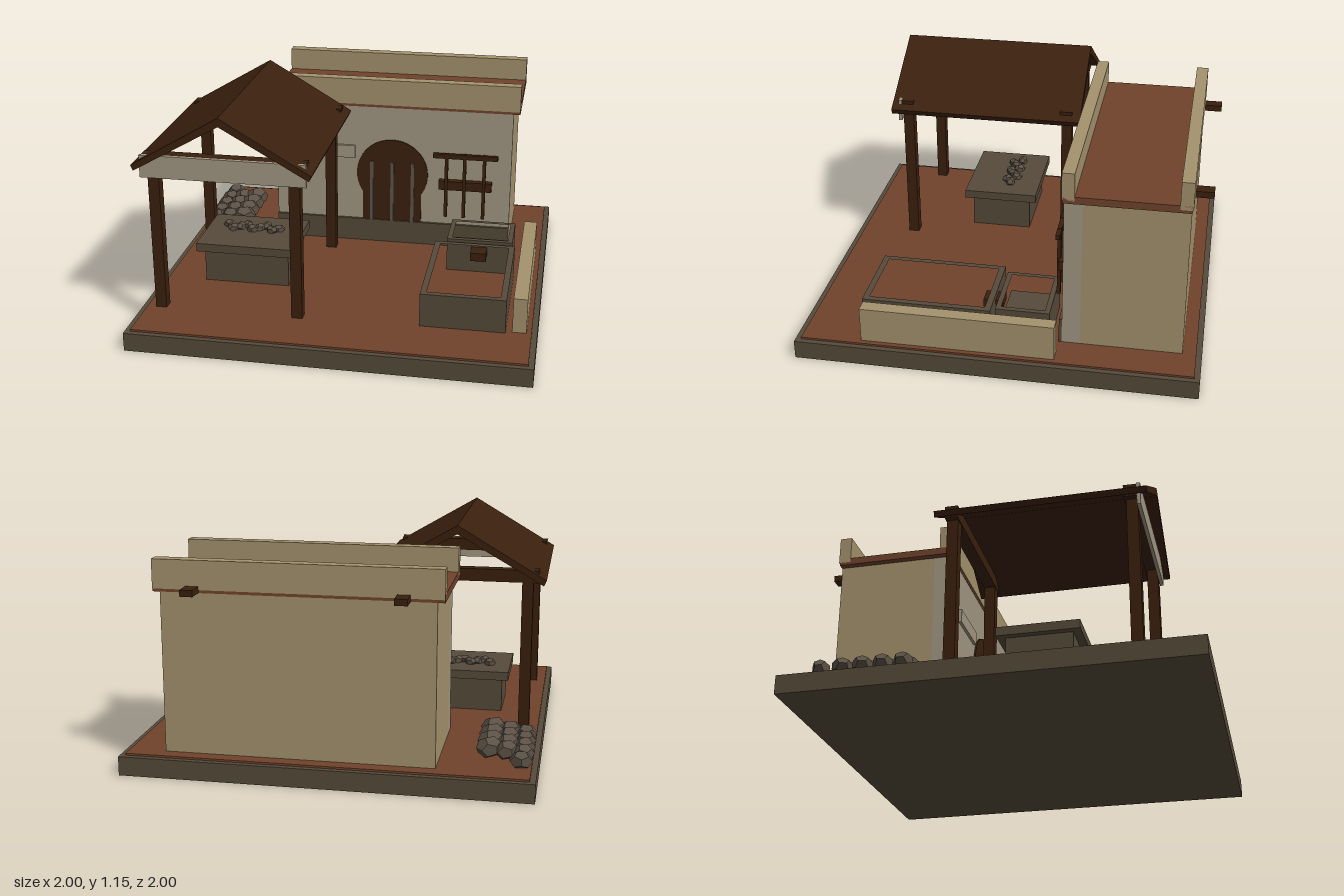
import * as THREE from 'three';

const material = (name, color) => {
  const m = new THREE.MeshStandardMaterial({ color });
  m.name = name;
  return m;
};

export function createModel() {
  const model = new THREE.Group();
  model.name = 'courtyard';
  const stone = material('stone', 0x564a3a);
  const clay = material('clay', 0x70432c);
  const sand = material('sandy plaster', 0xa5926d);
  const plaster = material('grey plaster', 0xa29782);
  const wood = material('dark wood', 0x3a200e);
  const iron = material('iron', 0x5c544a);
  const rock = material('rock', 0x5b5145);
  rock.flatShading = true;

  const add = (name, geometry, mat, parent = model) => {
    const mesh = new THREE.Mesh(geometry, mat);
    mesh.name = name;
    parent.add(mesh);
    return mesh;
  };
  // Box given by its extents along each axis
  const box = (name, mat, [x0, x1], [y0, y1], [z0, z1], parent) => {
    const g = new THREE.BoxGeometry(x1 - x0, y1 - y0, z1 - z0);
    g.translate((x0 + x1) / 2, (y0 + y1) / 2, (z0 + z1) / 2);
    return add(name, g, mat, parent);
  };
  const group = (name) => {
    const g = new THREE.Group();
    g.name = name;
    model.add(g);
    return g;
  };

  // Ground slab with clay floor
  box('base', stone, [-1, 1], [0, 0.095], [-1, 1]);
  box('floor', clay, [-0.972, 0.972], [0.09, 0.105], [-0.972, 0.972]);

  // House
  const house = group('house');
  box('houseBody', sand, [-0.53, 0.79], [0.1, 0.905], [-0.905, -0.4], house);
  box('frontWall', plaster, [-0.53, 0.79], [0.1, 0.905], [-0.4, -0.31], house);
  box('plinth', stone, [-0.53, 0.79], [0.1, 0.235], [-0.31, -0.295], house);
  box('roof', clay, [-0.565, 0.825], [0.9, 0.937], [-0.907, -0.308], house);
  box('frontParapet', sand, [-0.565, 0.825], [0.915, 1.057], [-0.365, -0.304], house);
  box('backParapet', sand, [-0.565, 0.825], [0.915, 1.057], [-0.912, -0.85], house);
  box('signPlate', plaster, [-0.37, -0.08], [0.6, 0.672], [-0.31, -0.295], house);
  for (const x of [-0.375, 0.63])
    box('roofBeamEnd', wood, [x - 0.031, x + 0.031], [0.9, 0.932], [-1, -0.9], house);

  // Keyhole door with bars
  const half = 0.165, radius = 0.2, angle = Math.acos(half / radius);
  const arch = new THREE.Shape();
  arch.moveTo(-half, 0.23);
  arch.lineTo(half, 0.23);
  arch.absarc(0, 0.515, radius, -angle, Math.PI + angle, false);
  arch.closePath();
  const doorGeometry = new THREE.ExtrudeGeometry(arch, { depth: 0.009, bevelEnabled: false, curveSegments: 32 });
  doorGeometry.translate(0.13, 0, -0.311);
  add('door', doorGeometry, wood, house);
  for (const x of [0.015, 0.13, 0.245])
    box('doorBar', iron, [x - 0.009, x + 0.009], [0.235, 0.585], [-0.303, -0.295], house);

  // Tool rack on the front wall
  const rack = group('rack');
  box('rackRail', wood, [0.362, 0.718], [0.64, 0.665], [-0.285, -0.262], rack);
  box('rackPlank', wood, [0.395, 0.687], [0.452, 0.503], [-0.31, -0.272], rack);
  for (const x of [0.437, 0.537, 0.645])
    box('rackRod', wood, [x - 0.009, x + 0.009], [0.295, 0.668], [-0.282, -0.263], rack);

  // Open troughs: a rim extruded upwards from a rectangle with a hole
  const trough = (name, x0, x1, z0, z1, t, top) => {
    const rect = (P, d) => new P([[x0 + d, -z0 - d], [x1 - d, -z0 - d], [x1 - d, -z1 + d], [x0 + d, -z1 + d]]
      .map(([x, y]) => new THREE.Vector2(x, y)));
    const shape = rect(THREE.Shape, 0);
    shape.holes.push(rect(THREE.Path, t));
    const g = new THREE.ExtrudeGeometry(shape, { depth: top - 0.1, bevelEnabled: false });
    g.rotateX(-Math.PI / 2);
    g.translate(0, 0.1, 0);
    add(name, g, stone);
  };
  trough('largeTrough', 0.42, 0.845, 0.038, 0.685, 0.031, 0.28);
  trough('smallTrough', 0.48, 0.83, -0.255, 0.015, 0.026, 0.287);
  box('smallTroughFloor', stone, [0.5, 0.81], [0.1, 0.19], [-0.235, -0.005]);
  box('spout', wood, [0.613, 0.697], [0.205, 0.25], [0, 0.1]);
  box('lowWall', sand, [0.877, 0.947], [0.1, 0.287], [-0.295, 0.67]);

  // Hearth
  const hearth = group('hearth');
  box('hearthBody', stone, [-0.765, -0.315], [0.1, 0.287], [0.04, 0.365], hearth);
  box('hearthTop', stone, [-0.8, -0.28], [0.285, 0.33], [0, 0.405], hearth);

  // Coals and stacked rocks
  const lump = (name, x, y, z, rx, ry, rz, turn) => {
    const mesh = add(name, new THREE.DodecahedronGeometry(1, 0), rock);
    mesh.position.set(x, y, z);
    mesh.scale.set(rx, ry, rz);
    mesh.rotation.y = turn;
  };
  for (let i = 0; i < 9; i++)
    lump('coal', -0.69 + i * 0.035, 0.342, 0.168 + [-0.025, 0.022, 0][i % 3], 0.033, 0.024, 0.027, i * 0.8);
  for (let row = 0; row < 4; row++)
    for (let col = 0; col < 3; col++)
      lump('rock', -0.925 + col * 0.08, 0.14 + col * 0.009, -0.405 - row * 0.1,
        0.056 + col * 0.007, 0.044 + col * 0.005, 0.05 + col * 0.005, (row + col) * 0.15);
  lump('rock', -0.922, 0.14, -0.81, 0.058, 0.045, 0.045, 0.1);

  // Open shelter
  const shelter = group('shelter');
  for (const x of [-0.898, -0.192])
    for (const z of [0.685, -0.188])
      box('post', wood, [x - 0.028, x + 0.028], [0.1, 0.9], [z - 0.028, z + 0.028], shelter);
  for (const z of [0.68, -0.188])
    box('crossBeam', wood, [-0.955, -0.132], [0.865, 0.928], [z - 0.032, z + 0.032], shelter);
  box('gableBoard', plaster, [-0.96, -0.128], [0.815, 0.93], [0.712, 0.73], shelter);

  // Pitched roof
  const pitch = new THREE.Shape([[0, 1.152], [-0.449, 0.888], [-0.436, 0.86], [0, 1.108], [0.436, 0.86], [0.449, 0.888]]
    .map(([x, y]) => new THREE.Vector2(x, y)));
  const pitchGeometry = new THREE.ExtrudeGeometry(pitch, { depth: 1.027, bevelEnabled: false });
  pitchGeometry.translate(-0.544, 0, -0.265);
  add('shelterRoof', pitchGeometry, wood, shelter);

  return model;
}
